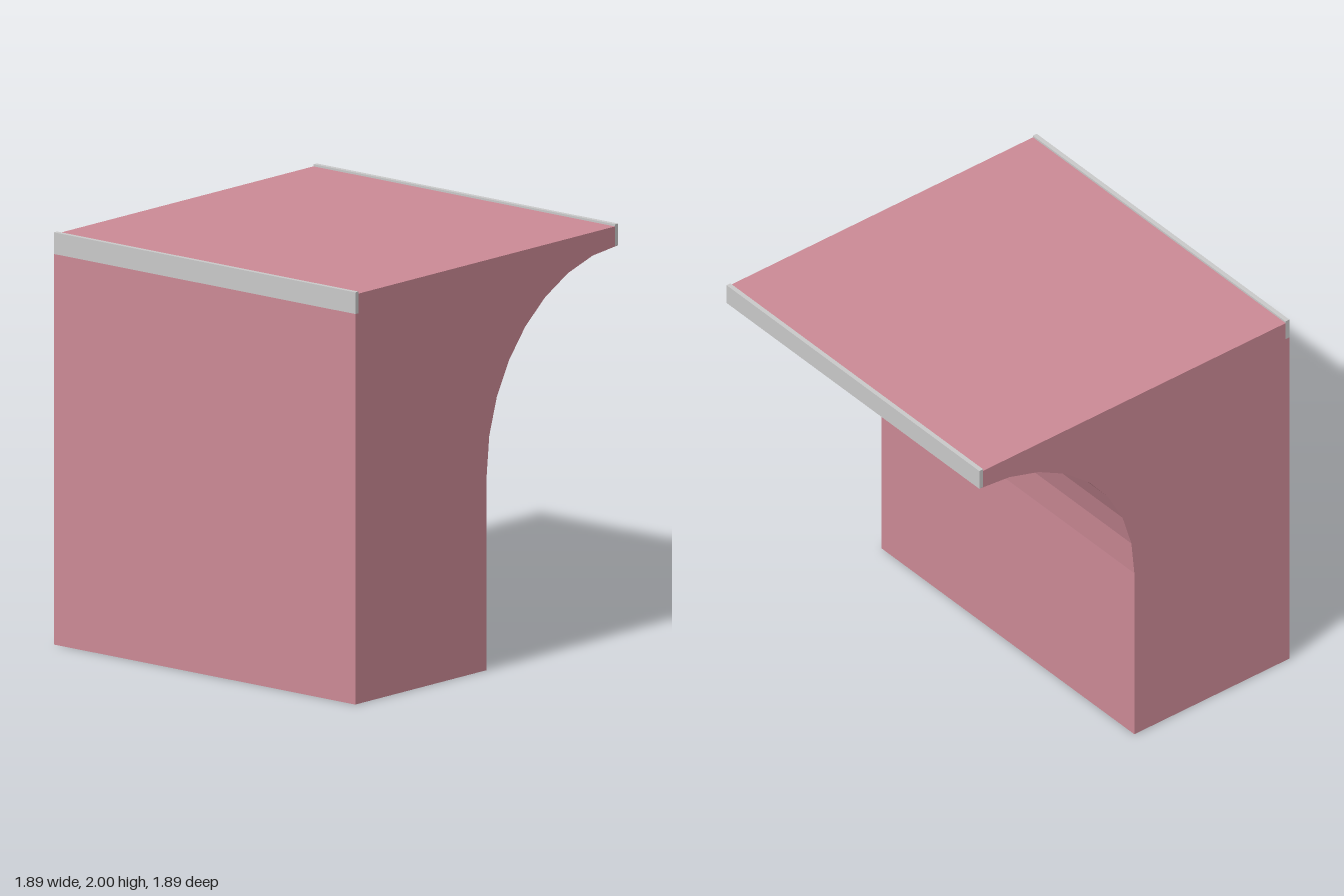
import * as THREE from 'three';

const HALF = 0.945;   // half the width and depth
const LEDGE = 1.895;  // underside of the edge strips
const STRIP = 0.023;  // strip thickness
const TOP = 1.99;     // upper surface of the block

export function createModel() {
  const group = new THREE.Group();
  const pink = new THREE.MeshStandardMaterial({ color: 0xcb8995 });
  pink.name = 'dusty pink';
  const grey = new THREE.MeshStandardMaterial({ color: 0xc9c9c9 });
  grey.name = 'light grey';

  // Side profile (depth, height): upright block with a faceted cove under the overhang
  const inner = HALF - STRIP;
  const points = [
    [0, 0], [HALF, 0], [HALF, LEDGE], [inner, LEDGE], [inner, TOP],
    [-inner, TOP], [-inner, LEDGE],
  ].map(([z, y]) => new THREE.Vector2(z, y));
  const steps = 8;
  for (let i = steps; i >= 0; i--) {
    const a = (i / steps) * Math.PI / 2;
    points.push(new THREE.Vector2(-HALF + HALF * Math.cos(a), LEDGE - HALF + HALF * Math.sin(a)));
  }
  const geometry = new THREE.ExtrudeGeometry(new THREE.Shape(points), {
    depth: HALF * 2, bevelEnabled: false,
  });
  geometry.translate(0, 0, -HALF).rotateY(-Math.PI / 2);
  const body = new THREE.Mesh(geometry, pink);
  body.name = 'covedBlock';
  group.add(body);

  // Raised edge strips along the front and back
  for (const [name, side] of [['frontEdgeStrip', 1], ['backEdgeStrip', -1]]) {
    const strip = new THREE.Mesh(new THREE.BoxGeometry(HALF * 2, 2 - LEDGE, STRIP), grey);
    strip.name = name;
    strip.position.set(0, (2 + LEDGE) / 2, side * (HALF - STRIP / 2));
    group.add(strip);
  }
  return group;
}
